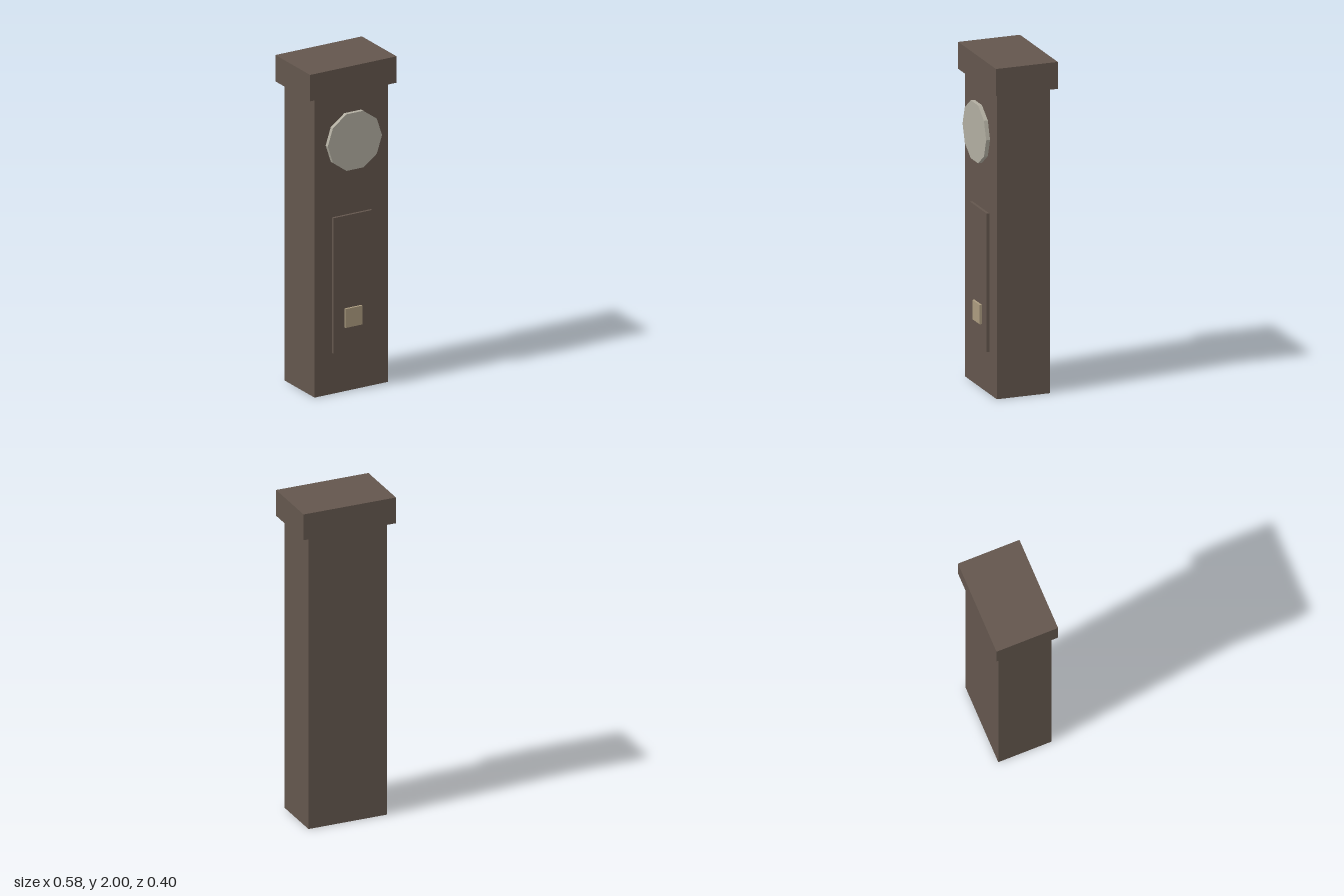
import * as THREE from 'three';

export function createModel() {
  const material = (name, color) => {
    const m = new THREE.MeshStandardMaterial({ color, flatShading: true });
    m.name = name;
    return m;
  };
  const wood = material('dark wood', 0x63564d);
  const ivory = material('ivory', 0xb1ada0);
  const brass = material('brass', 0xab9b7f);

  const clock = new THREE.Group();
  clock.name = 'longcaseClock';

  // Box given by half width and its y and z extents
  const addBox = (name, mat, halfX, y0, y1, z0, z1) => {
    const mesh = new THREE.Mesh(new THREE.BoxGeometry(halfX * 2, y1 - y0, z1 - z0), mat);
    mesh.position.set(0, (y0 + y1) / 2, (z0 + z1) / 2);
    mesh.name = name;
    clock.add(mesh);
  };

  addBox('caseBody', wood, 0.248, 0, 1.838, -0.171, 0.16);
  addBox('hood', wood, 0.292, 1.838, 2, -0.2, 0.183);
  addBox('door', wood, 0.131, 0.253, 1.085, 0.16, 0.176);
  addBox('pendulumBob', brass, 0.057, 0.4, 0.516, 0.176, 0.19);

  // Ten-sided dial with corners at left and right
  const dialGeometry = new THREE.CylinderGeometry(0.183, 0.183, 0.024, 10, 1, false, Math.PI / 2);
  dialGeometry.rotateX(Math.PI / 2);
  const dial = new THREE.Mesh(dialGeometry, ivory);
  dial.position.set(0, 1.543, 0.188);
  dial.name = 'dial';
  clock.add(dial);

  return clock;
}
